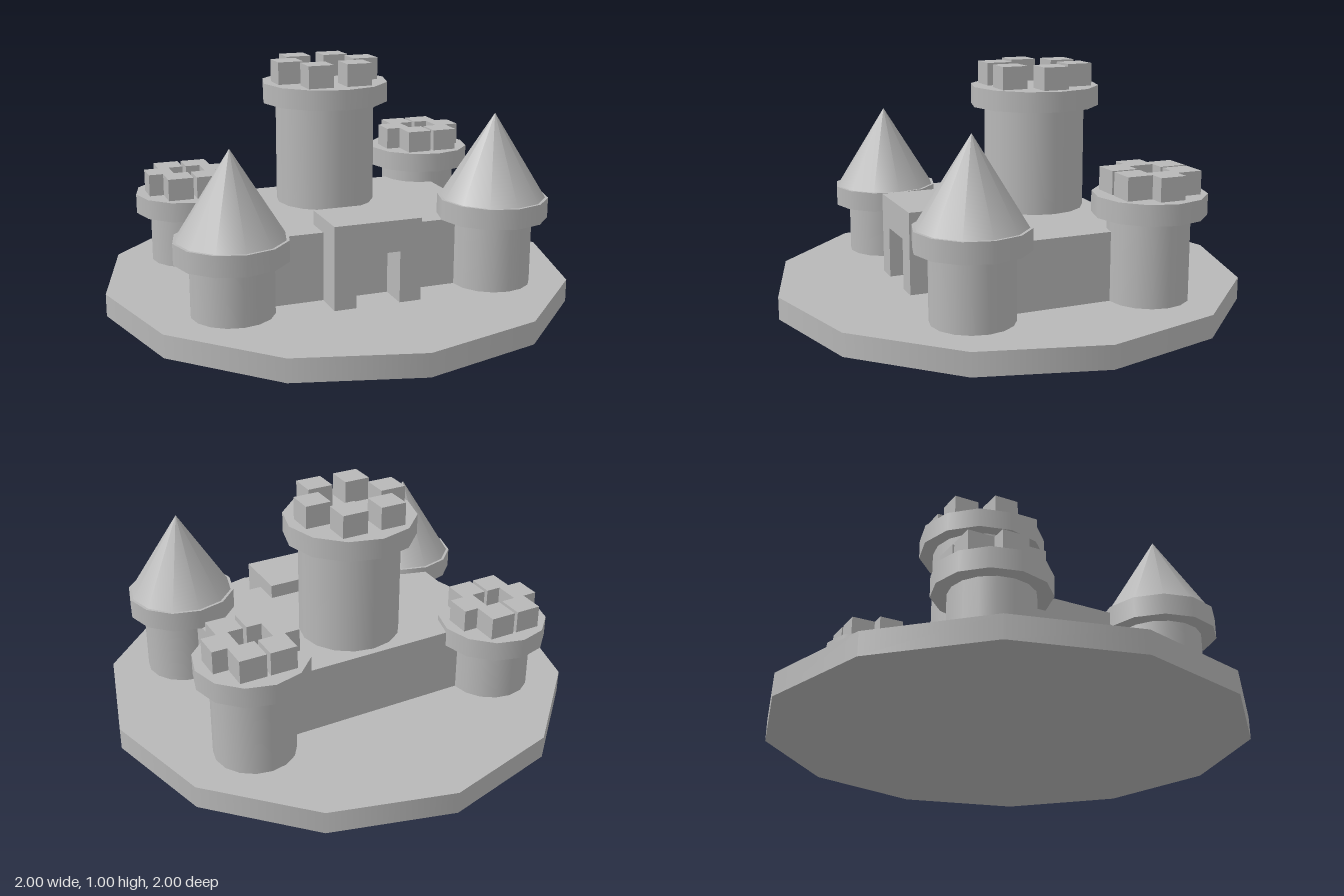
import * as THREE from 'three';

const GROUND = 0.095;

export function createModel() {
  const stone = new THREE.MeshStandardMaterial({ color: 0xb8b8b8 });
  stone.name = 'grey stone';
  const castle = new THREE.Group();
  castle.name = 'castle';

  const add = (parent, name, geometry, x, y, z) => {
    const mesh = new THREE.Mesh(geometry, stone);
    mesh.name = name;
    mesh.position.set(x, y, z);
    parent.add(mesh);
    return mesh;
  };
  // Upright cylinder spanning two heights
  const drum = (parent, name, r, y0, y1, sides) =>
    add(parent, name, new THREE.CylinderGeometry(r, r, y1 - y0, sides), 0, (y0 + y1) / 2, 0);

  // Round tower with a collar; returns its group
  const tower = (name, x, z, r, collarR, collarY) => {
    const group = new THREE.Group();
    group.name = name;
    group.position.set(x, 0, z);
    drum(group, 'towerBody', r, GROUND, collarY, 16);
    drum(group, 'towerCollar', collarR, collarY, collarY + 0.085, 12);
    castle.add(group);
    return group;
  };
  // Six axis-aligned blocks in a ring
  const battlements = (group, ring, y) => {
    for (let i = 0; i < 6; i++) {
      const a = (i * Math.PI) / 3;
      add(group, 'merlon', new THREE.BoxGeometry(0.11, 0.095, 0.11),
        ring * Math.cos(a), y + 0.0475, ring * Math.sin(a));
    }
  };

  // Twelve-sided island base
  drum(castle, 'base', 1, 0, GROUND, 12);

  // Solid curtain wall block
  add(castle, 'wallBlock', new THREE.BoxGeometry(1.12, 0.285, 0.745), 0, GROUND + 0.1425, -0.0025);

  // Gatehouse with a doorway notch
  const gate = new THREE.Shape([
    [-0.185, 0], [-0.093, 0], [-0.093, 0.215], [0.093, 0.215],
    [0.093, 0], [0.185, 0], [0.185, 0.345], [-0.185, 0.345],
  ].map(([x, y]) => new THREE.Vector2(x, y)));
  add(castle, 'gatehouse', new THREE.ExtrudeGeometry(gate, { depth: 0.25, bevelEnabled: false }),
    0, GROUND, 0.25);

  // Central keep
  battlements(tower('keep', 0, -0.13, 0.213, 0.274, 0.82), 0.17, 0.905);

  // Front towers with pointed roofs
  for (const [name, x, y] of [['frontLeftTower', 0.563, 0.38], ['frontRightTower', -0.563, 0.318]]) {
    const group = tower(name, x, 0.375, 0.168, 0.23, y);
    add(group, 'coneRoof', new THREE.ConeGeometry(0.218, 0.35, 12), 0, y + 0.085 + 0.175, 0);
  }

  // Back towers with battlements
  for (const [name, x, y] of [['backLeftTower', 0.563, 0.443], ['backRightTower', -0.563, 0.318]]) {
    battlements(tower(name, x, -0.38, 0.168, 0.23, y), 0.125, y + 0.085);
  }

  return castle;
}
